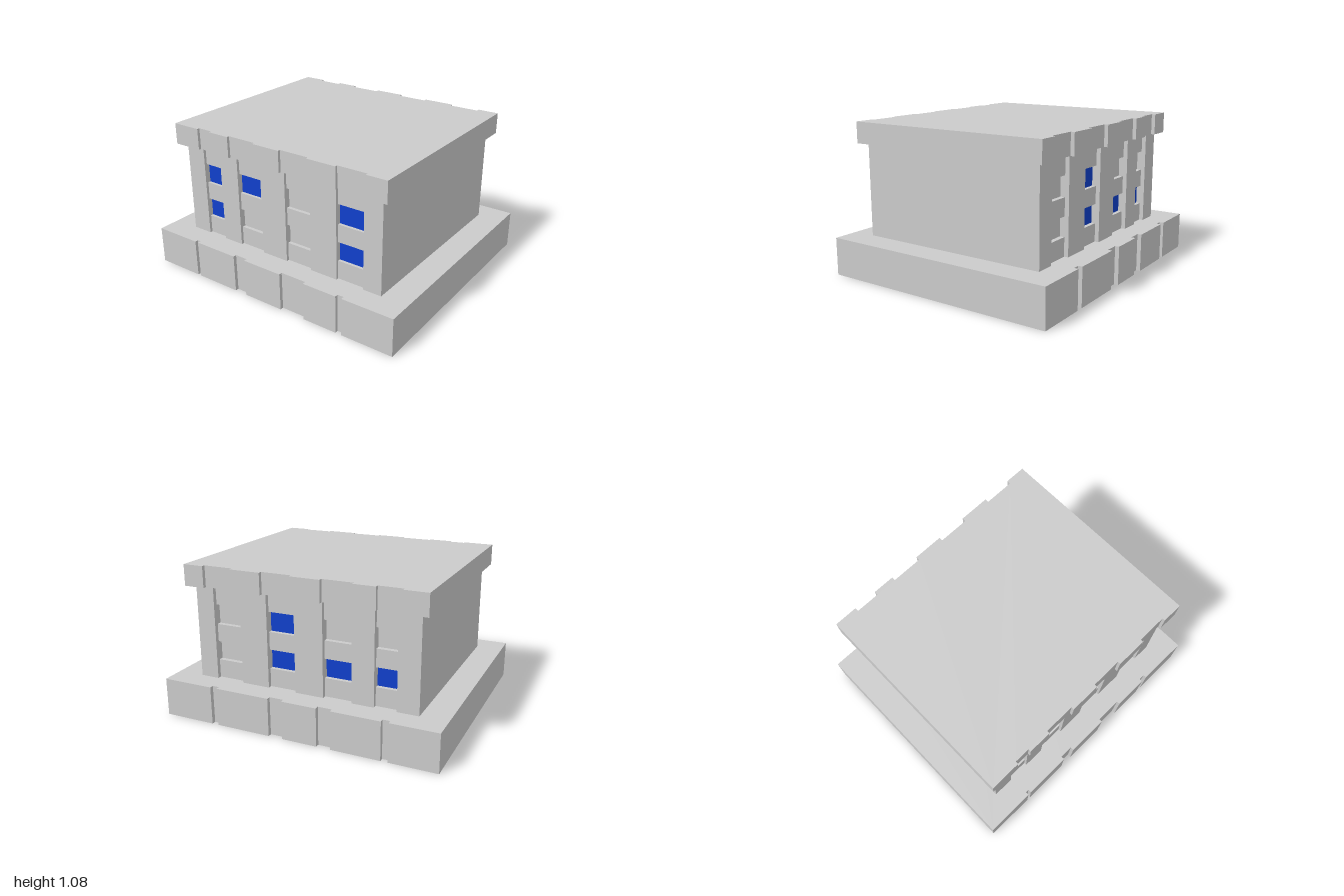
import * as THREE from 'three';

const grey = new THREE.MeshStandardMaterial({ color: 0xcccccc, flatShading: true });
const blue = new THREE.MeshStandardMaterial({ color: 0x1040cc, flatShading: true });

// Recesses along each side as [zStart, zEnd], from back to front
const BASE_RIGHT = [[-0.67, -0.62], [-0.275, -0.175], [0.078, 0.18], [0.578, 0.628]];
const BASE_LEFT = [[-0.645, -0.62], [-0.275, -0.178], [0.13, 0.325], [0.58, 0.625]];
const ROOF_RIGHT = [[-0.7, -0.53], [-0.375, -0.155], [0.06, 0.278], [0.5, 0.715]];
const ROOF_LEFT = [[-0.65, -0.54], [-0.375, -0.155], [0.06, 0.278], [0.5, 0.715]];
const BAYS = [[-0.66, -0.505], [-0.35, -0.145], [0.06, 0.265], [0.47, 0.675]];

const SPANDRELS = [[0.27, 0.4], [0.535, 0.66], [0.8, 0.93]];
const WINDOWS = [[0.4, 0.535], [0.66, 0.8]];

// Each side: direction, spandrel inset, window inset, and lit windows per bay [lower, upper]
const SIDES = [
  { name: 'right', dir: 1, inset: 0.03, deep: 0.063, lit: [[1, 0], [1, 0], [1, 1], [0, 0]] },
  { name: 'left', dir: -1, inset: 0.02, deep: 0.045, lit: [[1, 1], [0, 1], [0, 0], [1, 1]] },
];

function addMesh(parent, name, geometry, material) {
  const mesh = new THREE.Mesh(geometry, material);
  mesh.name = name;
  parent.add(mesh);
  return mesh;
}

// Slab whose two long sides are cut by vertical recesses
function notchedSlab(halfX, halfZ, y0, y1, right, rightDepth, left, leftDepth) {
  const edge = (x, inner, cuts) => [
    [x, -halfZ],
    ...cuts.flatMap(([a, b]) => [[x, a], [inner, a], [inner, b], [x, b]]),
    [x, halfZ],
  ];
  const outline = [
    ...edge(halfX, halfX - rightDepth, right),
    ...edge(-halfX, -halfX + leftDepth, left).reverse(),
  ];
  const shape = new THREE.Shape(outline.map(([x, z]) => new THREE.Vector2(x, -z)));
  const geometry = new THREE.ExtrudeGeometry(shape, { depth: y1 - y0, bevelEnabled: false });
  return geometry.rotateX(-Math.PI / 2).translate(0, y0, 0);
}

// Box given by its limits on each axis
function boxBetween(xa, xb, y0, y1, z0, z1) {
  return new THREE.BoxGeometry(Math.abs(xb - xa), y1 - y0, z1 - z0)
    .translate((xa + xb) / 2, (y0 + y1) / 2, (z0 + z1) / 2);
}

export function createModel() {
  const model = new THREE.Group();
  model.name = 'building';

  // Main masses
  addMesh(model, 'base', notchedSlab(0.865, 1, 0, 0.27, BASE_RIGHT, 0.03, BASE_LEFT, 0.025), grey);
  addMesh(model, 'walls',
    notchedSlab(0.7, 0.81, 0.27, 0.93, BAYS, SIDES[0].deep, BAYS, SIDES[1].deep), grey);
  addMesh(model, 'roof', notchedSlab(0.75, 0.865, 0.93, 1.08, ROOF_RIGHT, 0.027, ROOF_LEFT, 0.02), grey);

  // Spandrels and lit windows inside the recessed bays
  for (const { name, dir, inset, deep, lit } of SIDES) {
    const facade = new THREE.Group();
    facade.name = `${name}Facade`;
    model.add(facade);
    const back = dir * (0.7 - deep);
    BAYS.forEach(([z0, z1], bay) => {
      for (const [y0, y1] of SPANDRELS) {
        addMesh(facade, 'spandrel', boxBetween(back, dir * (0.7 - inset), y0, y1, z0, z1), grey);
      }
      WINDOWS.forEach(([y0, y1], row) => {
        if (!lit[bay][row]) return;
        addMesh(facade, 'window', boxBetween(back, back + dir * 0.004, y0, y1, z0, z1), blue);
      });
    });
  }
  return model;
}
